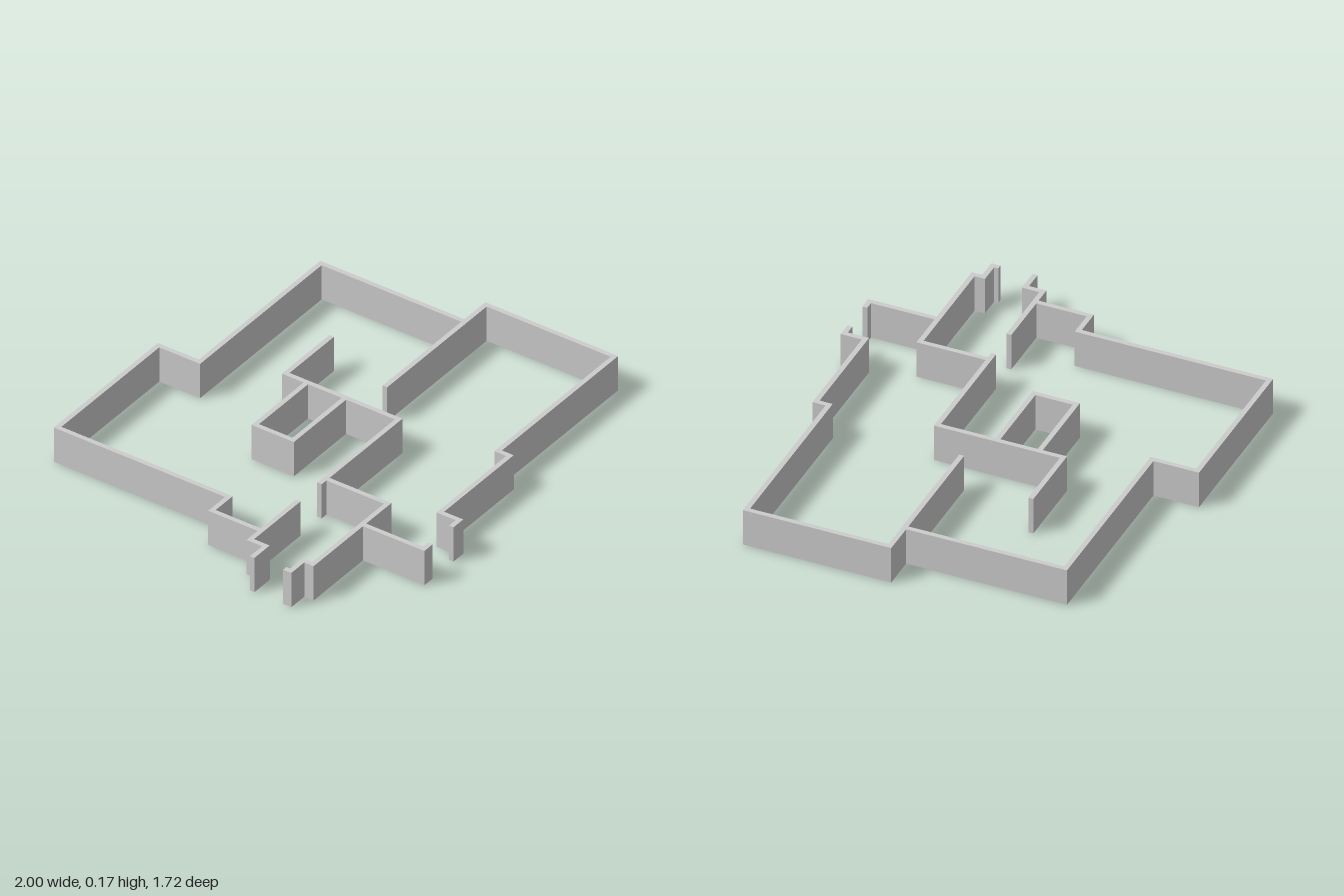
import * as THREE from 'three';

const HEIGHT = 0.168;
const HALF = 0.011; // half the wall thickness

// Wall of constant thickness along a floor-plan path of [x, z] points, with mitred corners
function wallGeometry(path) {
  const pts = path.map(([x, z]) => new THREE.Vector2(x, -z));
  const left = [], right = [];
  pts.forEach((p, i) => {
    const prev = pts[i - 1], next = pts[i + 1];
    const before = prev ? p.clone().sub(prev).normalize() : next.clone().sub(p).normalize();
    const after = next ? next.clone().sub(p).normalize() : before;
    const normal = (d) => new THREE.Vector2(-d.y, d.x);
    const mitre = normal(before).add(normal(after));
    mitre.multiplyScalar(HALF / mitre.dot(normal(before)));
    left.push(p.clone().add(mitre));
    right.unshift(p.clone().sub(mitre));
  });
  const shape = new THREE.Shape([...left, ...right]);
  const geometry = new THREE.ExtrudeGeometry(shape, { depth: HEIGHT, bevelEnabled: false });
  return geometry.rotateX(-Math.PI / 2);
}

// Floor plan: each run is a list of [x, z] centreline corners
const WALLS = {
  backOuterWall: [[0.843, 0.05], [0.843, -0.648], [-0.004, -0.648], [-0.004, -0.849],
    [-0.708, -0.849], [-0.708, -0.006], [-0.826, -0.006], [-0.826, 0.227]],
  sideEntryBackWall: [[-0.57, 0.238], [-0.904, 0.238], [-0.904, 0.315], [-1, 0.315]],
  sideEntryFrontWall: [[-0.989, 0.468], [-0.989, 0.497], [-0.899, 0.497], [-0.899, 0.543],
    [-0.378, 0.543], [-0.378, 0.249]],
  innerWall: [[-0.422, 0.238], [0.13, 0.238], [0.13, -0.318], [0.45, -0.318]],
  closetWall: [[0.119, -0.211], [-0.234, -0.211], [-0.234, -0.024], [0.119, -0.024]],
  frontOuterWall: [[0.285, 0.061], [0.989, 0.061], [0.989, 0.693], [0.179, 0.693],
    [0.179, 0.751], [-0.306, 0.751], [-0.306, 0.845], [-0.363, 0.845]],
  frontEntryWall: [[-0.555, 0.554], [-0.555, 0.845], [-0.508, 0.845]],
};

export function createModel() {
  const group = new THREE.Group();
  group.name = 'floorPlanWalls';
  const wallGrey = new THREE.MeshStandardMaterial({ color: 0xcccccc });
  wallGrey.name = 'wall grey';
  for (const [name, path] of Object.entries(WALLS)) {
    const wall = new THREE.Mesh(wallGeometry(path), wallGrey);
    wall.name = name;
    group.add(wall);
  }
  return group;
}
